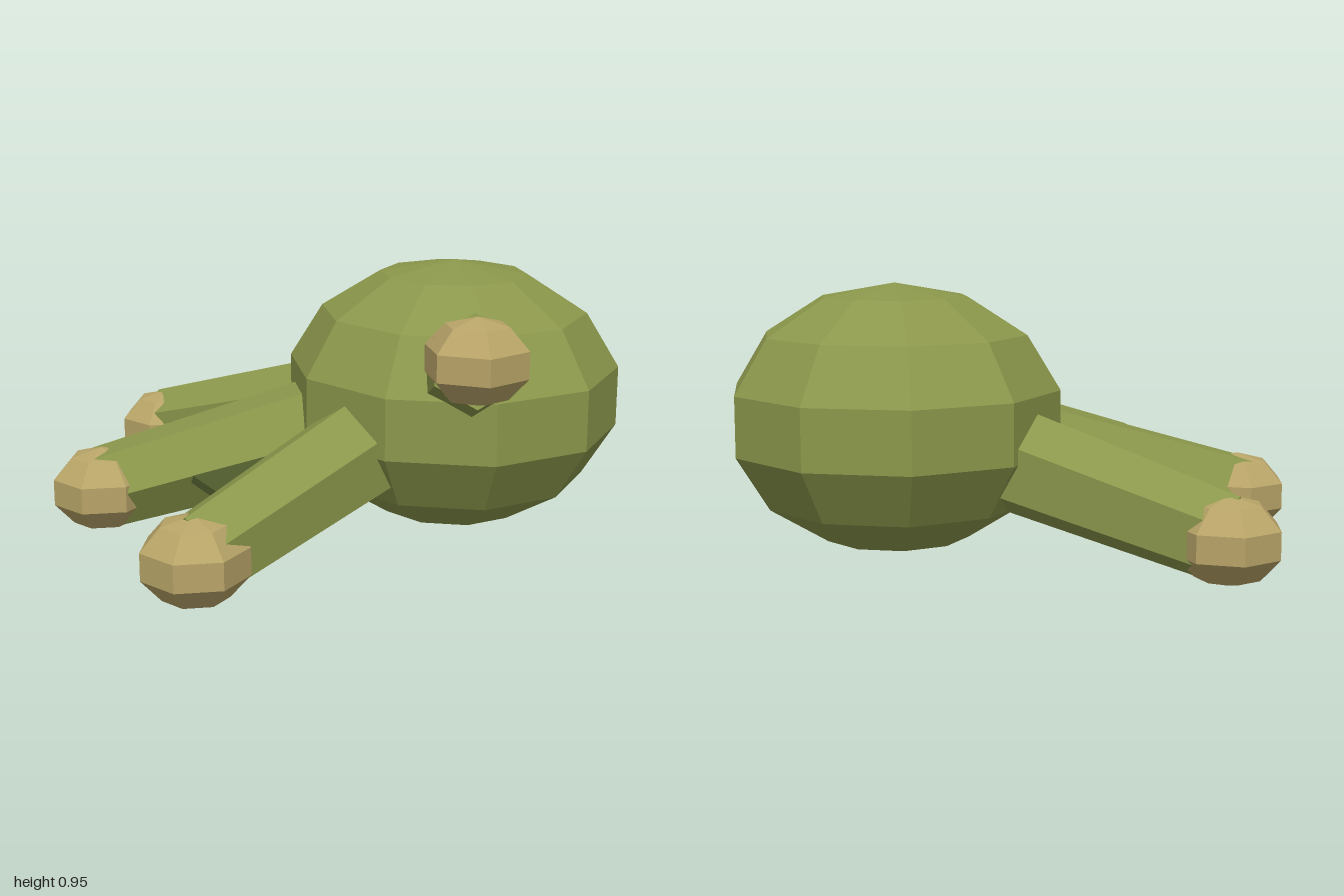
import * as THREE from 'three';
import { ConvexGeometry } from 'three/addons/geometries/ConvexGeometry.js';

const paint = (color) => new THREE.MeshStandardMaterial({ color, flatShading: true });
const skin = paint(0x8b974b);
const pad = paint(0xb8a468);
const webbing = paint(0x4f5c2d);

const CENTRE = new THREE.Vector3(0.44, 0.477, 0.005);

function part(name, geometry, material) {
  const mesh = new THREE.Mesh(geometry, material);
  mesh.name = name;
  return mesh;
}

// Faceted ellipsoid with a corner of its outline on -z
function blob(name, sides, rows, rx, ry, rz, material) {
  const geometry = new THREE.SphereGeometry(1, sides, rows);
  geometry.rotateY(-Math.PI / 2).scale(rx, ry, rz);
  return part(name, geometry, material);
}

// Six-sided tapered digit from the palm centre to a rounded pad
function digit(name, tip, { flatTop = false, base = 0.205, end = 0.15, padSides = 7, padSize = 0.185 } = {}) {
  const group = new THREE.Group();
  group.name = name;

  const length = tip.distanceTo(CENTRE);
  const geometry = new THREE.CylinderGeometry(end, base, length, 6);
  geometry.rotateX(Math.PI / 2).translate(0, 0, length / 2);
  if (flatTop) geometry.rotateZ(Math.PI / 6);
  const bone = part(name + 'Shaft', geometry, skin);
  bone.position.copy(CENTRE);
  bone.lookAt(tip);

  const tipPad = blob(name + 'Pad', padSides, 5, padSize, padSize * 0.8, padSize, pad);
  tipPad.position.copy(tip);
  group.add(bone, tipPad);
  return group;
}

// Thin triangular skin between two neighbouring digits
function web(name, tipA, tipB) {
  const corners = [
    CENTRE,
    CENTRE.clone().lerp(tipA, 0.8),
    CENTRE.clone().lerp(tipB, 0.8),
  ];
  const points = corners.flatMap((c) => [-0.015, 0.015].map((dy) => new THREE.Vector3(c.x, c.y + dy, c.z)));
  return part(name, new ConvexGeometry(points), webbing);
}

export function createModel() {
  const model = new THREE.Group();
  model.name = 'webbedFoot';

  // Rounded palm
  const palm = blob('palm', 10, 7, 0.604, 0.475, 0.648, skin);
  palm.position.copy(CENTRE);
  model.add(palm);

  // Three spread toes, the outer two mirrored
  const middleTip = new THREE.Vector3(-0.823, 0.165, 0);
  model.add(digit('middleToe', middleTip, { flatTop: true }));
  for (const [side, s] of [['front', 1], ['back', -1]]) {
    const tip = new THREE.Vector3(-0.555, 0.165, 0.78 * s);
    model.add(digit(side + 'Toe', tip), web(side + 'Web', middleTip, tip));
  }

  // Raised thumb
  const thumbTip = new THREE.Vector3(0.35, 0.742, 0.695);
  model.add(digit('thumb', thumbTip, { base: 0.185, end: 0.155, padSides: 6, padSize: 0.18 }));

  return model;
}
